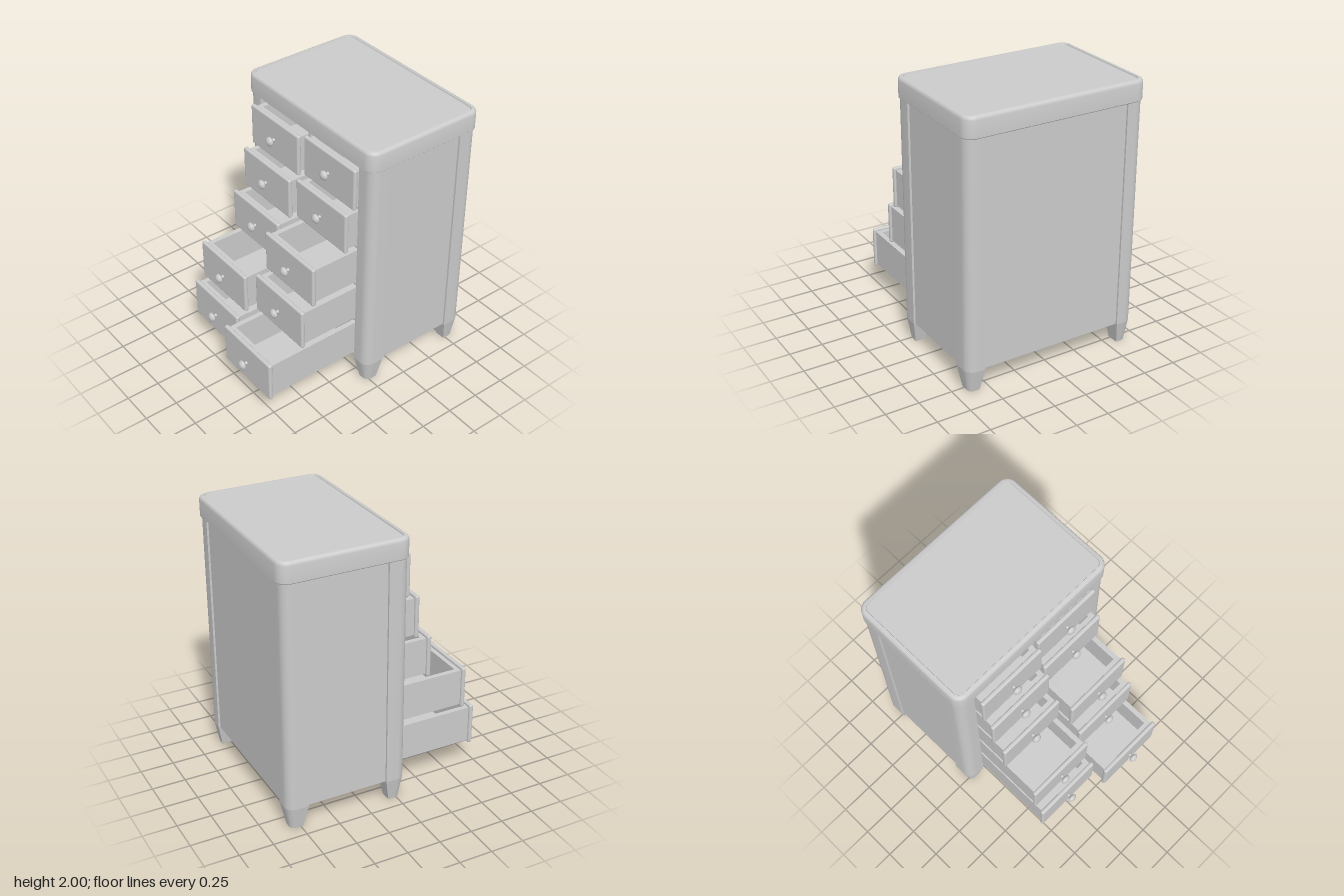
import * as THREE from 'three';
import { toCreasedNormals } from 'three/addons/utils/BufferGeometryUtils.js';
import { RoundedBoxGeometry } from 'three/addons/geometries/RoundedBoxGeometry.js';

const material = new THREE.MeshStandardMaterial({ color: 0xcccccc });

function part(parent, name, geometry, x = 0, y = 0, z = 0) {
  const mesh = new THREE.Mesh(geometry, material);
  mesh.name = name;
  mesh.position.set(x, y, z);
  parent.add(mesh);
  return mesh;
}

// Box given by its limits on each axis
function span(parent, name, [x0, x1], [y0, y1], [z0, z1]) {
  return part(parent, name, new THREE.BoxGeometry(x1 - x0, y1 - y0, z1 - z0),
    (x0 + x1) / 2, (y0 + y1) / 2, (z0 + z1) / 2);
}

// Rounded rectangle ring; radii run (+x,-z), (-x,-z), (-x,+z), (+x,+z)
function ring(hx, hz, radii, y, segments) {
  const signs = [[1, -1], [-1, -1], [-1, 1], [1, 1]];
  const points = [];
  radii.forEach((r, q) => {
    const [sx, sz] = signs[q];
    const n = r > 0 ? segments : 0;
    for (let i = 0; i <= n; i++) {
      const a = (q + (n ? i / n : 0)) * Math.PI / 2;
      points.push([sx * (hx - r) + r * Math.cos(a), y, sz * (hz - r) - r * Math.sin(a)]);
    }
  });
  return points;
}

// Closed skin through rings of equal point count
function loft(rings) {
  const n = rings[0].length;
  const positions = rings.flat(2);
  const index = [];
  for (let i = 0; i < rings.length - 1; i++) {
    for (let j = 0; j < n; j++) {
      const k = (j + 1) % n;
      const a = i * n + j, b = i * n + k;
      index.push(a, b, b + n, a, b + n, a + n);
    }
  }
  const last = (rings.length - 1) * n;
  for (let j = 1; j < n - 1; j++) {
    index.push(0, j + 1, j);
    index.push(last, last + j, last + j + 1);
  }
  const geometry = new THREE.BufferGeometry();
  geometry.setAttribute('position', new THREE.Float32BufferAttribute(positions, 3));
  geometry.setIndex(index);
  return toCreasedNormals(geometry, 0.55);
}

// Top slab with a rounded lip and a shallow recessed panel
function addTop(group) {
  const profile = [
    [0.006, 1.85], [0, 1.856], [0, 1.975], [0.003, 1.986], [0.009, 1.995], [0.018, 2],
    [0.034, 2], [0.038, 1.99],
  ];
  const rings = profile.map(([inset, y]) =>
    ring(0.69 - inset, 0.473 - inset, Array(4).fill(0.08 - inset), y, 8));
  part(group, 'top', loft(rings), 0, 0, -0.398);
}

// Corner post and tapered foot, rounded on the outer corner only
function addPost(group, sx, sz) {
  const corner = sz < 0 ? (sx > 0 ? 0 : 1) : (sx > 0 ? 3 : 2);
  const section = (scale, y) => {
    const radii = [0, 0, 0, 0];
    radii[corner] = 0.07 * scale;
    return ring(0.068 * scale, 0.078 * scale, radii, y, 8);
  };
  const x = sx * 0.615;
  const z = -0.398 + sz * 0.38;
  part(group, 'cornerPost', loft([section(1, 0.17), section(1, 1.855)]), x, 0, z);
  part(group, 'foot', loft([section(0.58, 0), section(1, 0.17)]), x, 0, z);
}

const knobGeometry = new THREE.LatheGeometry([
  [0, 0], [0.016, 0], [0.014, 0.006], [0.010, 0.012], [0.010, 0.022], [0.022, 0.026],
  [0.033, 0.032], [0.036, 0.039], [0.033, 0.048], [0.024, 0.057], [0.012, 0.063], [0, 0.064],
].map(([r, y]) => new THREE.Vector2(r, y)), 24).rotateX(Math.PI / 2);

// Open drawer: floor, four walls, rounded face and knob; origin at the face centre
function makeDrawer() {
  const drawer = new THREE.Group();
  drawer.name = 'drawer';
  const w = 0.255, h = 0.138, t = 0.037, back = -0.83, front = -0.03;
  part(drawer, 'drawerFace', new RoundedBoxGeometry(0.543, 0.316, 0.033, 4, 0.013), 0, 0, -0.0165);
  span(drawer, 'drawerFloor', [-w, w], [-h, -h + 0.025], [back, front]);
  for (const s of [-1, 1]) {
    const x = s * (w - t / 2);
    span(drawer, 'drawerSide', [x - t / 2, x + t / 2], [-h, h], [back, front]);
  }
  span(drawer, 'drawerFrontWall', [-w + t, w - t], [-h, h], [front - t, front]);
  span(drawer, 'drawerBack', [-w + t, w - t], [-h, h], [back, back + t]);
  part(drawer, 'knob', knobGeometry, 0, 0, -0.001);
  return drawer;
}

export function createModel() {
  const group = new THREE.Group();
  group.name = 'chestOfDrawers';

  addTop(group);
  for (const sx of [-1, 1]) for (const sz of [-1, 1]) addPost(group, sx, sz);

  // Carcass, set slightly behind the posts
  span(group, 'leftPanel', [0.55, 0.668], [0.17, 1.855], [-0.72, -0.08]);
  span(group, 'rightPanel', [-0.668, -0.55], [0.17, 1.855], [-0.72, -0.08]);
  span(group, 'backPanel', [-0.56, 0.56], [0.17, 1.855], [-0.842, -0.81]);
  span(group, 'bottomPanel', [-0.56, 0.56], [0.171, 0.192], [-0.82, 0.045]);
  span(group, 'topRail', [-0.56, 0.56], [1.82, 1.852], [-0.82, 0.045]);
  span(group, 'centreDivider', [-0.01, 0.01], [0.19, 1.83], [-0.82, 0.045]);

  // Drawers, each pulled out by its own amount
  const pitch = 0.3275;
  const faceZ = {
    right: [0.70, 0.62, 0.324, 0.22, 0.142],
    left: [0.813, 0.533, 0.438, 0.166, 0.098],
  };
  for (let row = 0; row < 5; row++) {
    const y = 0.35 + row * pitch;
    if (row > 0) {
      const shelf = y - pitch / 2;
      span(group, 'shelf', [-0.56, 0.56], [shelf - 0.01, shelf + 0.01], [-0.82, 0.045]);
    }
    for (const [side, x] of [['right', -0.276], ['left', 0.276]]) {
      const drawer = makeDrawer();
      drawer.position.set(x, y, faceZ[side][row]);
      group.add(drawer);
    }
  }
  return group;
}
